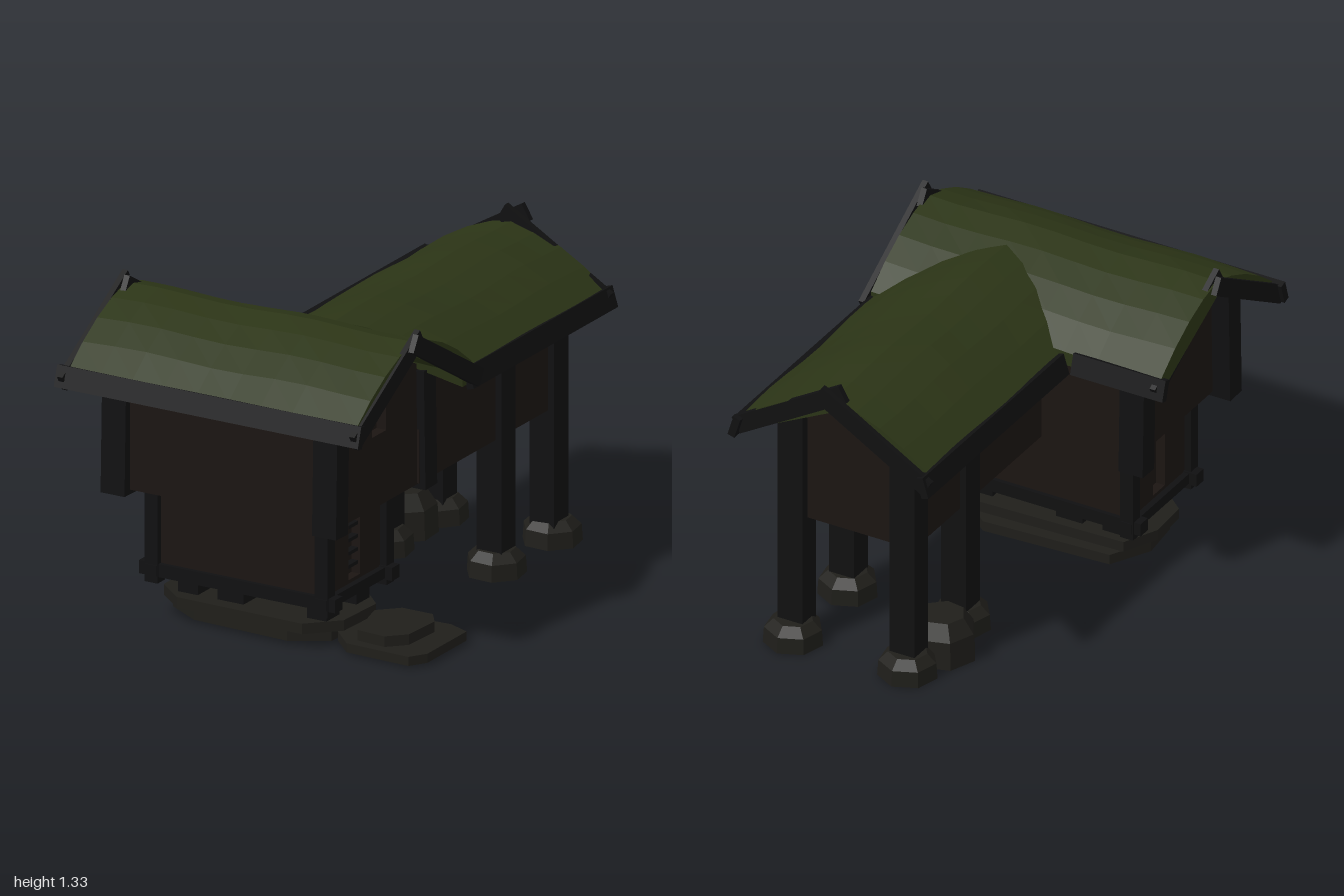
import * as THREE from 'three';

const mat = (color) => new THREE.MeshStandardMaterial({ color, flatShading: true });
const TIMBER = mat(0x101011), WALL = mat(0x1b1512), MOSS = mat(0x2b3416), STONE = mat(0x1f1e1a);

function add(parent, name, geo, material, x = 0, y = 0, z = 0) {
  const m = new THREE.Mesh(geo, material);
  m.name = name;
  m.position.set(x, y, z);
  parent.add(m);
  return m;
}

// Box given by its limits on each axis
function block(parent, name, material, [x0, x1], [y0, y1], [z0, z1]) {
  return add(parent, name, new THREE.BoxGeometry(x1 - x0, y1 - y0, z1 - z0), material,
    (x0 + x1) / 2, (y0 + y1) / 2, (z0 + z1) / 2);
}

// Gable-shaped wall, extruded along z, with an optional rectangular opening
function gable(parent, name, half, base, eave, peak, z0, z1, hole) {
  const s = new THREE.Shape([[-half, base], [half, base], [half, eave], [0, peak], [-half, eave]]
    .map(([x, y]) => new THREE.Vector2(x, y)));
  if (hole) s.holes.push(rectPath(hole));
  return add(parent, name, new THREE.ExtrudeGeometry(s, { depth: z1 - z0, bevelEnabled: false }), WALL, 0, 0, z0);
}

function rectPath([x0, x1, y0, y1]) {
  return new THREE.Path([[x0, y0], [x0, y1], [x1, y1], [x1, y0]].map(([x, y]) => new THREE.Vector2(x, y)));
}

// Mossy roof along z: bulging top, straight underside, slightly wavy, optional mitred far end
function mossRoof(parent, half, ridge, z0, z1, mitre = 0) {
  const geo = new THREE.BoxGeometry(1, 1, 1, 8, 1, 9);
  const p = geo.attributes.position;
  for (let i = 0; i < p.count; i++) {
    const u = p.getX(i) * 2 * half, d = Math.abs(u), t = p.getZ(i) + 0.5;
    const z = z0 + (z1 - mitre * d - z0) * t;
    const wave = 0.006 * Math.sin(z * 9 + u * 4);
    const y = p.getY(i) > 0 ? ridge - 0.18 * d - 0.75 * d * d + wave : ridge - 0.065 - 0.5 * d;
    p.setXYZ(i, u, y, z);
  }
  geo.computeVertexNormals();
  add(parent, 'mossRoof', geo, MOSS);
}

// Sloping gable board on one side of the ridge
function gableBoard(parent, side, peak, run, z) {
  const slope = 0.59, d0 = -0.045, len = (run - d0) * Math.hypot(1, slope), mid = (run + d0) / 2;
  const b = add(parent, 'gableBoard', new THREE.BoxGeometry(len, 0.075, 0.025), TIMBER,
    side * mid, peak - slope * mid, z);
  b.rotation.z = -side * Math.atan(slope);
}

function eaveBoard(parent, side, u, y, z0, z1) {
  const b = block(parent, 'eaveBoard', TIMBER, [-0.016, 0.016], [-0.045, 0.045], [z0, z1]);
  b.position.x = side * u;
  b.position.y = y;
  b.rotation.z = side * 0.3;
}

// Flat stone from an outline in x and z
function slab(parent, name, outline, y0, y1) {
  const s = new THREE.Shape(outline.map(([x, z]) => new THREE.Vector2(x, -z)));
  const geo = new THREE.ExtrudeGeometry(s, { depth: y1 - y0, bevelEnabled: false });
  geo.rotateX(-Math.PI / 2);
  add(parent, name, geo, STONE, 0, y0, 0);
}

function boulder(parent, name, x, z, r, h, turn) {
  const g = new THREE.Group();
  g.name = name;
  add(g, 'stoneFoot', new THREE.CylinderGeometry(r, r * 1.04, h * 0.65, 7), STONE, 0, h * 0.325, 0);
  add(g, 'stoneCap', new THREE.CylinderGeometry(r * 0.68, r, h * 0.35, 7), STONE, 0, h * 0.825, 0);
  g.position.set(x, 0, z);
  g.rotation.y = turn;
  parent.add(g);
}

export function createModel() {
  const model = new THREE.Group();
  model.name = 'storehouse';

  // Front house, built along local z and turned to run along x
  const house = new THREE.Group();
  house.name = 'frontHouse';
  house.rotation.y = Math.PI / 2;
  house.position.set(-0.05, 0, 0.54);
  model.add(house);
  gable(house, 'upperRoom', 0.345, 0.57, 1.045, 1.22, -0.46, 0.46);
  gable(house, 'windowWall', 0.345, 0.57, 1.045, 1.22, 0.46, 0.505, [-0.055, 0.055, 0.87, 1.05]);
  mossRoof(house, 0.44, 1.288, -0.655, 0.665);
  for (const [side, z] of [[-1, 0.665], [-1, -0.675], [1, 0.69], [1, -0.635]])
    gableBoard(house, side, 1.27, 0.455, z);
  eaveBoard(house, -1, 0.44, 1.025, -0.705, 0.69);
  eaveBoard(house, 1, 0.445, 1.025, -0.68, -0.26);
  // Hanging corner posts, slightly flared at the foot
  for (const sx of [-1, 1]) for (const sz of [-1, 1]) {
    const post = block(house, 'cornerPost', TIMBER, [-0.045, 0.045], [0.55, 1.05], [-0.055, 0.055]);
    post.position.x = sx * 0.335;
    post.position.z = sz * 0.485;
    post.rotation.z = sx * 0.025;
  }

  // Lower room with end openings and ladder rungs
  const lower = new THREE.Group();
  lower.name = 'lowerRoom';
  model.add(lower);
  block(lower, 'lowerWalls', WALL, [-0.40, 0.30], [0.2, 0.57], [0.31, 0.765]);
  for (const side of [-1, 1]) {
    const s = new THREE.Shape([[-0.225, 0.2], [0.225, 0.2], [0.225, 0.57], [-0.225, 0.57]]
      .map(([x, y]) => new THREE.Vector2(x, y)));
    s.holes.push(rectPath([-0.045, 0.045, 0.25, 0.5]));
    const wall = add(lower, 'doorWall', new THREE.ExtrudeGeometry(s, { depth: 0.04, bevelEnabled: false }), WALL,
      side > 0 ? 0.3 : -0.44, 0, 0.538);
    wall.rotation.y = Math.PI / 2;
  }
  for (let i = 0; i < 4; i++)
    block(lower, 'ladderRung', TIMBER, [0.3, 0.33], [0.29 + i * 0.055, 0.305 + i * 0.055], [0.493, 0.583]);
  for (const x of [-0.44, 0.34]) for (const z of [0.312, 0.763])
    block(lower, 'lowerPost', TIMBER, [x - 0.03, x + 0.03], [0.16, 0.57], [z - 0.028, z + 0.028]);
  for (const z of [0.32, 0.755])
    block(lower, 'longSill', TIMBER, [-0.5, 0.4], [0.185, 0.24], [z - 0.028, z + 0.028]);
  for (const x of [-0.44, 0.34])
    block(lower, 'crossSill', TIMBER, [x - 0.026, x + 0.026], [0.19, 0.235], [0.28, 0.795]);
  for (const [x, w] of [[-0.325, 0.09], [-0.13, 0.12], [0.265, 0.09]]) for (const z of [0.42, 0.65])
    block(lower, 'shortFoot', TIMBER, [x - w / 2, x + w / 2], [0.1, 0.2], [z - 0.05, z + 0.05]);

  // Rear wing with its mitred roof
  const wing = new THREE.Group();
  wing.name = 'rearWing';
  wing.position.x = 0.18;
  model.add(wing);
  gable(wing, 'wingWalls', 0.285, 0.575, 1.045, 1.18, -0.8, 0.25);
  mossRoof(wing, 0.43, 1.258, -0.945, 0.42, 0.6);
  gableBoard(wing, -1, 1.26, 0.45, -0.972);
  gableBoard(wing, 1, 1.26, 0.44, -0.933);
  eaveBoard(wing, -1, 0.44, 1.005, -1.0, 0.1);
  eaveBoard(wing, 1, 0.435, 1.005, -0.97, 0.13);
  for (const x of [-0.255, 0.255]) for (const z of [-0.385, -0.787])
    block(wing, 'tallPost', TIMBER, [x - 0.057, x + 0.057], [0.07, 1.06], [z - 0.054, z + 0.054]);

  // Foundation stones
  [[0.435, -0.385], [0.435, -0.81], [-0.075, -0.375], [-0.08, -0.8]]
    .forEach(([x, z], i) => boulder(model, 'postStone', x, z, 0.118, 0.105, 0.4 + i * 0.9));
  boulder(model, 'bigStone', -0.12, -0.6, 0.135, 0.185, 0.3);
  slab(model, 'lowerFoundation',
    [[-0.45, 0.46], [-0.36, 0.29], [0.2, 0.26], [0.32, 0.36], [0.31, 0.66], [0.16, 0.75], [-0.28, 0.73], [-0.43, 0.64]], 0.015, 0.058);
  slab(model, 'upperFoundation',
    [[-0.47, 0.48], [-0.4, 0.33], [0.26, 0.31], [0.37, 0.42], [0.36, 0.65], [0.24, 0.77], [-0.34, 0.76], [-0.46, 0.66]], 0.064, 0.108);
  slab(model, 'lowerStep',
    [[0.32, 0.42], [0.42, 0.34], [0.66, 0.33], [0.755, 0.37], [0.755, 0.67], [0.71, 0.74], [0.42, 0.73], [0.32, 0.63]], 0.01, 0.048);
  slab(model, 'upperStep',
    [[0.38, 0.45], [0.46, 0.37], [0.6, 0.37], [0.65, 0.44], [0.64, 0.62], [0.57, 0.69], [0.44, 0.68]], 0.048, 0.092);
  return model;
}
